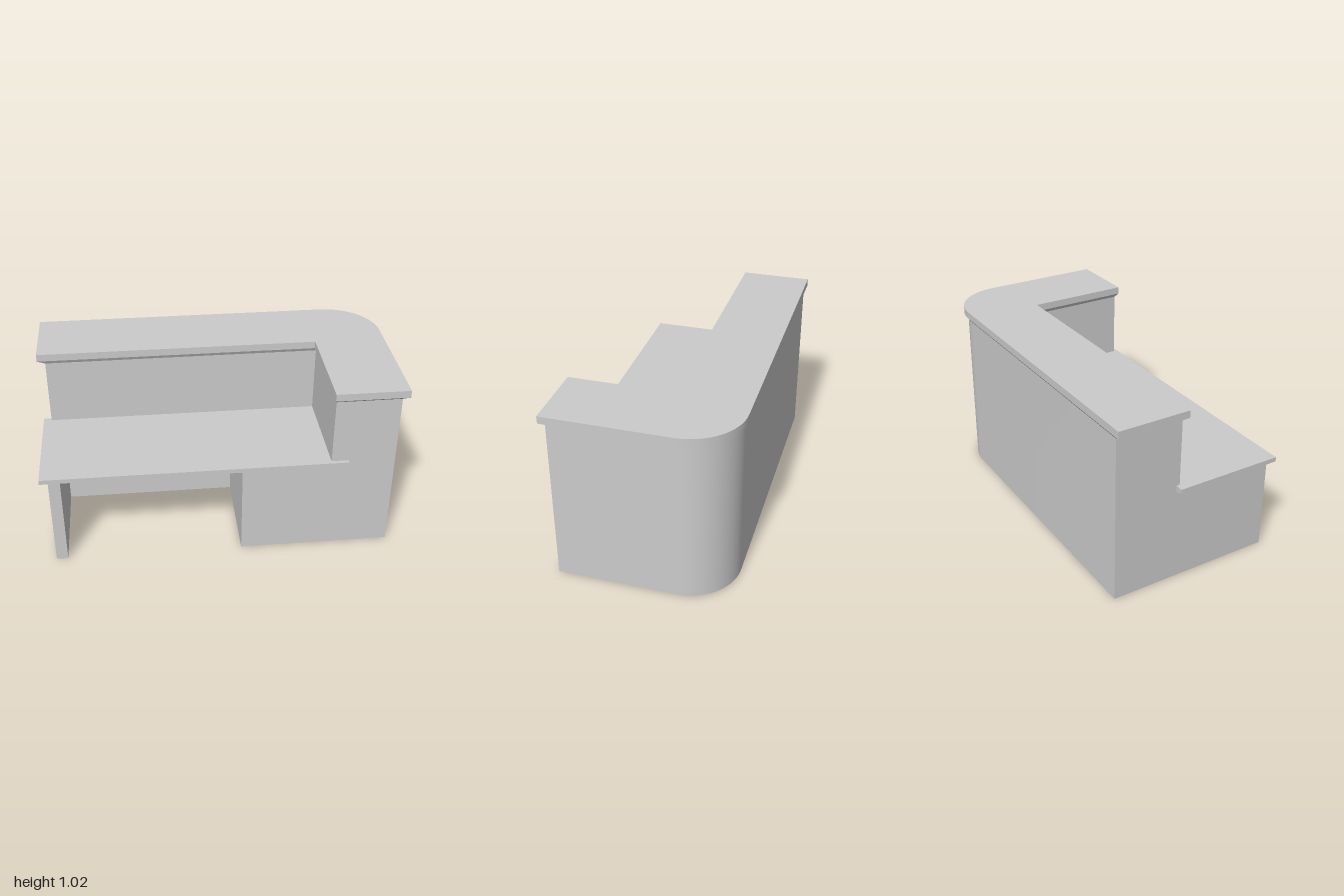
import * as THREE from 'three';
import { toCreasedNormals } from 'three/addons/utils/BufferGeometryUtils.js';

const material = new THREE.MeshStandardMaterial({ color: 0xcccccc });

// L-shaped outline in (x, z) with a rounded back corner
function counterOutline(left, right, back, front, innerX, innerZ, radius) {
  const pts = [new THREE.Vector2(left, back)];
  const steps = 20;
  for (let i = 0; i <= steps; i++) {
    const a = (i / steps) * Math.PI / 2;
    pts.push(new THREE.Vector2(
      right - radius + radius * Math.sin(a),
      back + radius - radius * Math.cos(a)));
  }
  pts.push(new THREE.Vector2(right, front), new THREE.Vector2(innerX, front),
    new THREE.Vector2(innerX, innerZ), new THREE.Vector2(left, innerZ));
  return pts;
}

function rectOutline(left, right, back, front) {
  return [[left, back], [right, back], [right, front], [left, front]]
    .map(([x, z]) => new THREE.Vector2(x, z));
}

// Closed solid through stacked outlines; each ring is [y, outline], bottom to top
function stack(name, rings) {
  const pos = [];
  const add = (p, y) => pos.push(p.x, y, p.y);
  for (let k = 0; k < rings.length - 1; k++) {
    const [y0, lo] = rings[k], [y1, hi] = rings[k + 1];
    for (let i = 0; i < lo.length; i++) {
      const j = (i + 1) % lo.length;
      add(lo[i], y0); add(hi[i], y1); add(lo[j], y0);
      add(lo[j], y0); add(hi[i], y1); add(hi[j], y1);
    }
  }
  const cap = ([y, pts], up) => {
    for (const face of THREE.ShapeUtils.triangulateShape(pts, [])) {
      const [a, b, c] = face.map((i) => pts[i]);
      const facesDown = THREE.ShapeUtils.area([a, b, c]) > 0;
      for (const p of facesDown === up ? [a, c, b] : [a, b, c]) add(p, y);
    }
  };
  cap(rings[0], false);
  cap(rings[rings.length - 1], true);
  const geometry = new THREE.BufferGeometry();
  geometry.setAttribute('position', new THREE.Float32BufferAttribute(pos, 3));
  const mesh = new THREE.Mesh(toCreasedNormals(geometry, 0.4), material);
  mesh.name = name;
  return mesh;
}

export function createModel() {
  const group = new THREE.Group();
  group.name = 'receptionDesk';

  // Tall curved body
  const body = counterOutline(-0.955, 0.965, -0.485, 0.475, 0.605, -0.1, 0.285);
  group.add(stack('counterBody', [[0, body], [0.96, body]]));

  // Counter top with a chamfered underside
  const top = counterOutline(-1, 1, -0.5, 0.5, 0.595, -0.09, 0.3);
  group.add(stack('counterTop', [[0.96, body], [0.98, top], [1.022, top]]));

  // Cabinet and side panel under the work surface
  const cabinet = rectOutline(0.11, 0.605, -0.1, 0.475);
  group.add(stack('cabinet', [[0, cabinet], [0.55, cabinet]]));
  const panel = rectOutline(-0.955, -0.89, -0.1, 0.475);
  group.add(stack('sidePanel', [[0, panel], [0.55, panel]]));

  // Low work surface, chamfered below, running into the body
  const under = rectOutline(-0.955, 0.66, -0.12, 0.475);
  const slab = rectOutline(-1, 0.7, -0.12, 0.497);
  group.add(stack('workSurface', [[0.54, under], [0.55, slab], [0.576, slab]]));

  return group;
}
